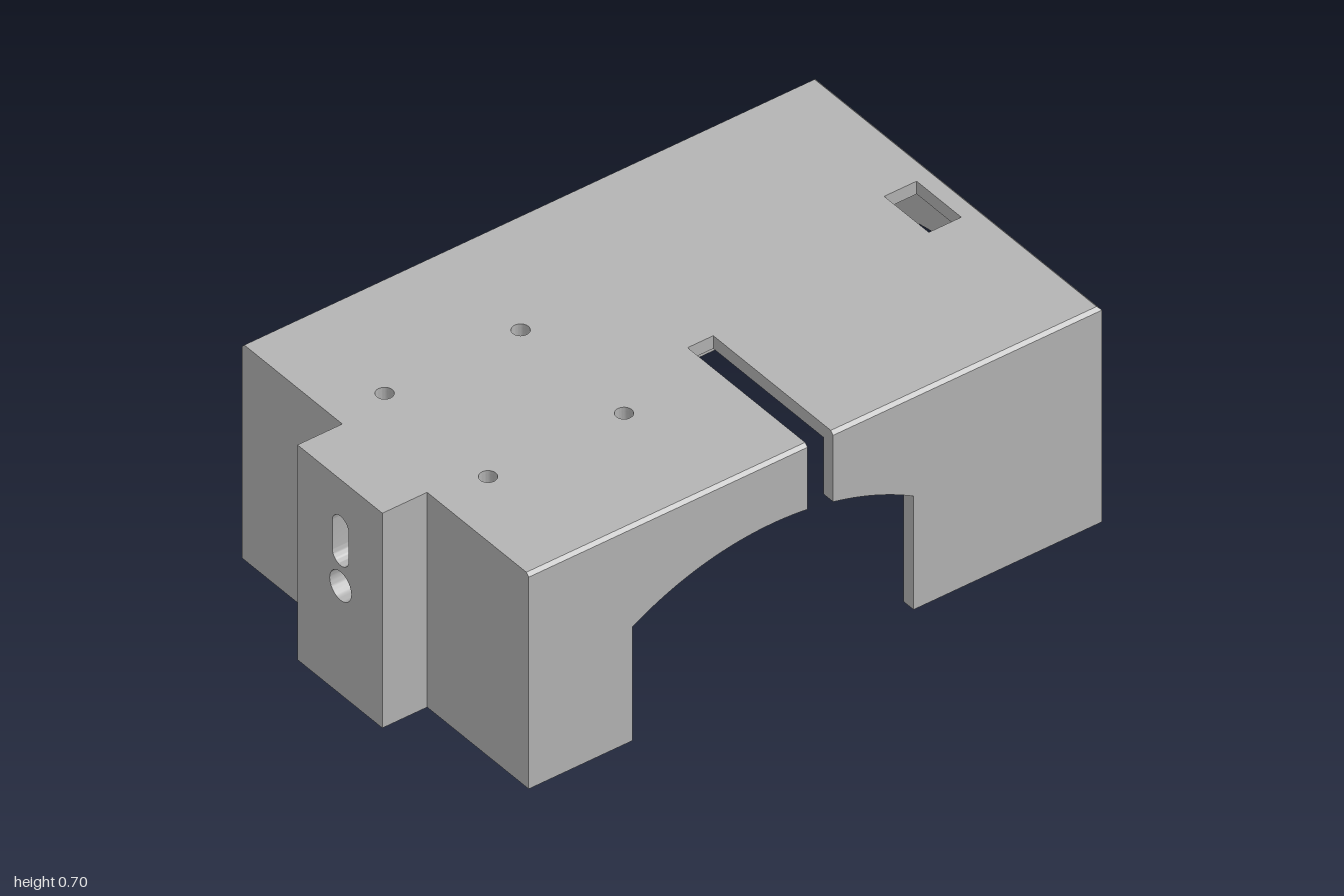
import * as THREE from 'three';
import { toCreasedNormals } from 'three/addons/utils/BufferGeometryUtils.js';

const X0 = -0.855, X1 = 1, Z = 0.61, H = 0.7, T = 0.042;
const UNDER = H - T;   // underside of the roof
const BEVEL = 0.01;

const shapeOf = (pts) => new THREE.Shape(pts.map(([x, y]) => new THREE.Vector2(x, y)));
const rect = (x0, y0, x1, y1) => [[x0, y0], [x1, y0], [x1, y1], [x0, y1]];
const circle = (x, y, r) => new THREE.Path().absarc(x, y, r, 0, Math.PI * 2, true);

// Points along a shallow arch from x0 to x1
function arch(x0, x1, cx, apex, r, n = 24) {
  return Array.from({ length: n + 1 }, (_, i) => {
    const x = x0 + (x1 - x0) * i / n;
    return [x, apex - r + Math.sqrt(r * r - (x - cx) ** 2)];
  });
}

const extrude = (shape, depth) =>
  new THREE.ExtrudeGeometry(shape, { depth, bevelEnabled: false, curveSegments: 20 });

export function createModel() {
  const model = new THREE.Group();
  const grey = new THREE.MeshStandardMaterial({ color: 0xb4b4b4 });
  grey.name = 'grey plastic';

  const add = (name, geometry) => {
    const mesh = new THREE.Mesh(toCreasedNormals(geometry, 0.5), grey);
    mesh.name = name;
    model.add(mesh);
  };
  // Plate facing z, drawn in (x, y)
  const facingZ = (name, shape, z, depth) => add(name, extrude(shape, depth).translate(0, 0, z));
  // Plate facing x, drawn in (-z, y)
  const facingX = (name, shape, x, depth) =>
    add(name, extrude(shape, depth).rotateY(Math.PI / 2).translate(x, 0, 0));
  // Plate facing y, drawn in (x, -z)
  const flat = (shape, y, depth) => extrude(shape, depth).rotateX(-Math.PI / 2).translate(0, y, 0);

  // Roof with front slot, window and four screw holes
  const slot0 = 0.047, slot1 = 0.13;
  const roof = shapeOf([
    [X0, -Z], [slot0, -Z], [slot0, -0.1], [slot1, -0.1], [slot1, -Z], [X1, -Z], [X1, Z], [X0, Z],
  ]);
  roof.holes.push(new THREE.Path(rect(0.835, -0.09, 0.94, 0.1).map((p) => new THREE.Vector2(...p))));
  for (const x of [-0.69, -0.25]) for (const z of [-0.22, 0.22]) roof.holes.push(circle(x, z, 0.025));
  add('roof', flat(roof, UNDER, T - BEVEL));

  // Upper roof skin, its outer rim drawn in to form a small bevel
  const skin = flat(roof, H - BEVEL, BEVEL);
  const p = skin.attributes.position;
  for (let i = 0; i < p.count; i++) {
    if (p.getY(i) < H - 0.001) continue;
    p.setX(i, Math.min(p.getX(i), X1 - BEVEL));
    p.setZ(i, THREE.MathUtils.clamp(p.getZ(i), -Z + BEVEL, Z - BEVEL));
  }
  add('roofBevel', skin);

  // Back wall
  facingZ('backWall', shapeOf(rect(X0, 0, X1, UNDER)), -Z, T);

  // Front wall, parted by the slot above its arch
  const frontArch = (a, b) => arch(a, b, -0.065, 0.495, 0.89);
  facingZ('frontWallRight', shapeOf([
    [X0, 0], [-0.52, 0], ...frontArch(-0.52, slot0), [slot0, UNDER], [X0, UNDER],
  ]), Z - T, T);
  facingZ('frontWallLeft', shapeOf([
    [slot1, UNDER], ...frontArch(slot1, 0.39), [0.39, 0], [X1, 0], [X1, UNDER],
  ]), Z - T, T);

  // Arched end wall
  const inZ = Z - T;
  facingX('archedEndWall', shapeOf([
    [-inZ, 0], [-0.545, 0], ...arch(-0.545, 0.345, -0.1, 0.565, 1.09), [0.345, 0],
    [inZ, 0], [inZ, UNDER], [-inZ, UNDER],
  ]), X1 - T, T);

  // Closed end wall with a cable hole
  const endWall = shapeOf(rect(-inZ, 0, inZ, UNDER));
  endWall.holes.push(circle(0, 0.353, 0.058));
  facingX('closedEndWall', endWall, X0, T);

  // Outer block: bored through, with a blind slot above
  const block = rect(-0.178, 0, 0.183, H);
  const inner = shapeOf(block), outer = shapeOf(block);
  inner.holes.push(circle(0, 0.353, 0.046));
  const slot = new THREE.Path();
  slot.absarc(0, 0.545, 0.035, 0, Math.PI, false);
  slot.absarc(0, 0.455, 0.035, Math.PI, Math.PI * 2, false);
  outer.holes.push(circle(0, 0.353, 0.046), slot);
  facingX('blockInner', inner, X0 - 0.06, 0.06);
  facingX('blockOuter', outer, -1, 1 + X0 - 0.06);

  // Corner posts, trimmed by the walls, with screw bores
  for (const x of [-0.744, 0.88]) {
    for (const z of [-0.495, 0.495]) {
      const ring = Array.from({ length: 48 }, (_, i) => {
        const a = i / 48 * Math.PI * 2;
        return [
          THREE.MathUtils.clamp(x + 0.1 * Math.cos(a), X0 + T, X1 - T),
          THREE.MathUtils.clamp(-z + 0.1 * Math.sin(a), -inZ, inZ),
        ];
      });
      const post = shapeOf(ring);
      post.holes.push(circle(x, -z, 0.03));
      add('cornerPost', flat(post, 0.11, UNDER - 0.11));
    }
  }
  return model;
}
